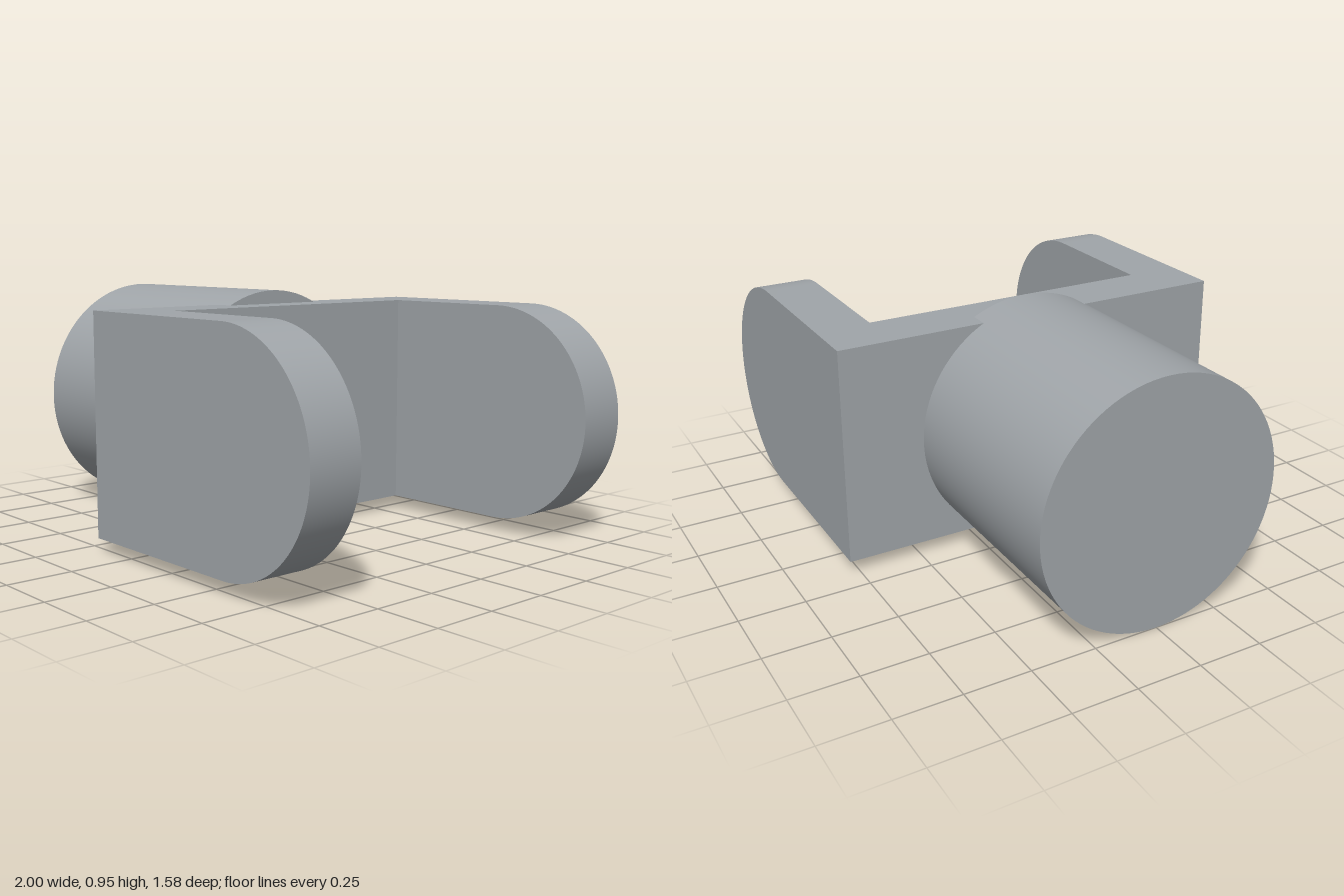
import * as THREE from 'three';
import { toCreasedNormals } from 'three/addons/utils/BufferGeometryUtils.js';

const CENTRE_Y = 0.473;   // shared axis height
const HALF_H = 0.42;      // half height of the fork
const BACK_X = -0.16;     // rear face of the fork
const OUTER_Z = 0.788;
const THICK = 0.21;       // thickness of arms and bridge

export function createModel() {
  const group = new THREE.Group();
  group.name = 'clevisFork';
  const steel = new THREE.MeshStandardMaterial({ color: 0xa0a5a9 });
  steel.name = 'steelGrey';

  const add = (name, geometry, x, y, z) => {
    const mesh = new THREE.Mesh(geometry, steel);
    mesh.name = name;
    mesh.position.set(x, y, z);
    group.add(mesh);
  };

  // Round shank, its end sunk into the bridge
  const shankEnd = -0.085;
  const shank = new THREE.CylinderGeometry(0.473, 0.473, shankEnd + 1, 96);
  shank.rotateZ(Math.PI / 2);
  add('shank', shank, (shankEnd - 1) / 2, CENTRE_Y, 0);

  // Bridge joining the two arms
  const innerZ = OUTER_Z - THICK;
  add('bridge', new THREE.BoxGeometry(THICK, HALF_H * 2, innerZ * 2),
    BACK_X + THICK / 2, CENTRE_Y, 0);

  // Arms with a half-round end
  const outline = new THREE.Shape();
  outline.moveTo(BACK_X, -HALF_H);
  outline.lineTo(1 - HALF_H, -HALF_H);
  outline.absarc(1 - HALF_H, 0, HALF_H, -Math.PI / 2, Math.PI / 2, false);
  outline.lineTo(BACK_X, HALF_H);
  outline.closePath();
  const arm = toCreasedNormals(new THREE.ExtrudeGeometry(outline,
    { depth: THICK, bevelEnabled: false, curveSegments: 48 }), 0.5);
  add('frontArm', arm, 0, CENTRE_Y, innerZ);
  add('backArm', arm, 0, CENTRE_Y, -OUTER_Z);

  return group;
}
